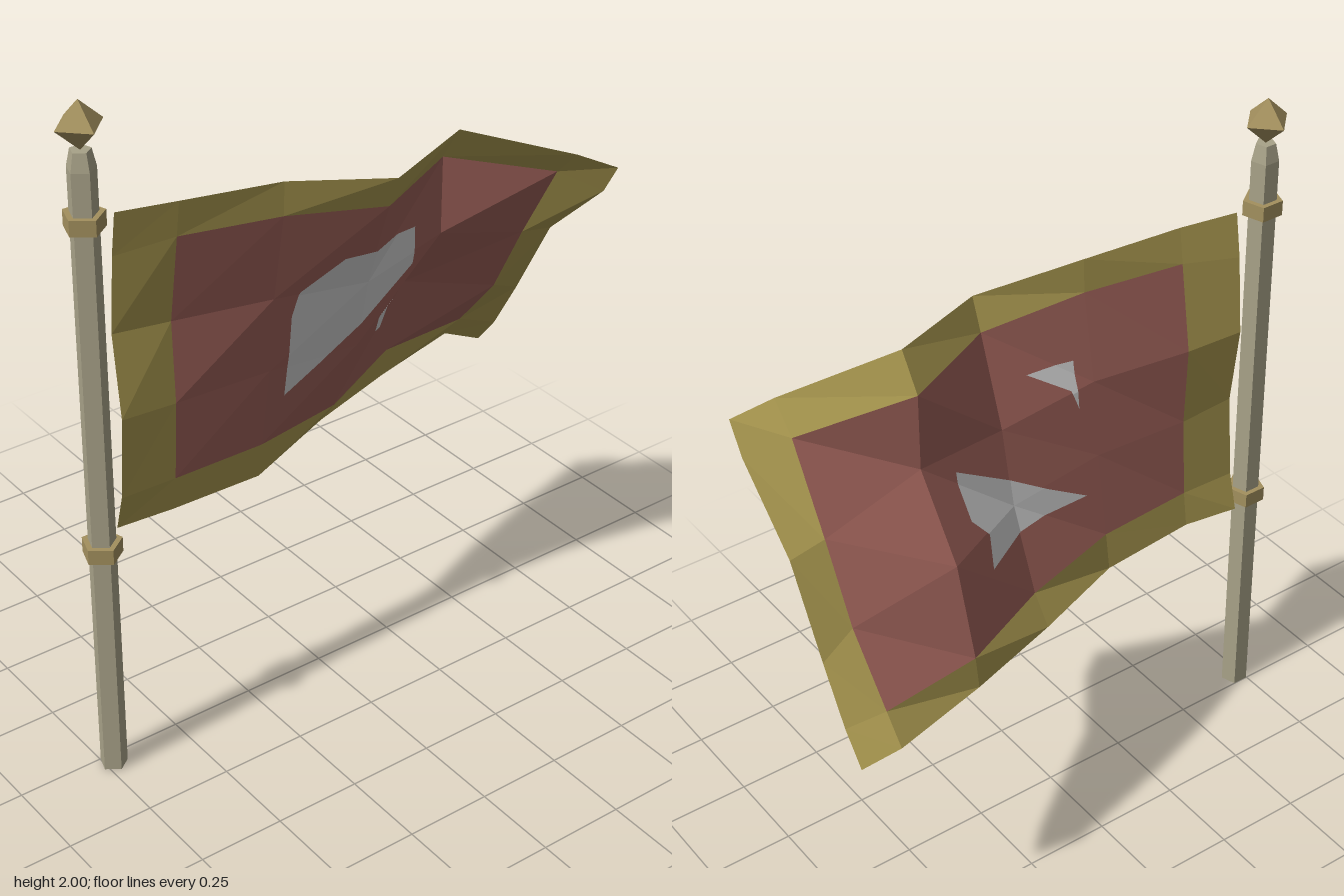
import * as THREE from 'three';

const POLE_X = -0.725, POLE_Z = 0.032;

// Cloth grid: columns run from the pole outwards, rows from top to bottom.
const COLS = [-0.645, -0.48, -0.195, 0.10, 0.39, 0.685, 0.79];
const HEIGHTS = [
  [1.68, 1.55, 1.32, 1.08, 0.83, 0.72],
  [1.675, 1.57, 1.31, 1.07, 0.83, 0.725],
  [1.66, 1.56, 1.30, 1.07, 0.82, 0.71],
  [1.615, 1.52, 1.26, 1.04, 0.80, 0.72],
  [1.625, 1.52, 1.29, 1.07, 0.81, 0.72],
  [1.52, 1.44, 1.20, 0.98, 0.80, 0.72],
  [1.47, 1.38, 1.18, 0.93, 0.77, 0.68],
];
const DEPTHS = [
  [0.04, 0.02, 0.0, 0.03, 0.01, -0.02],
  [0.075, 0.06, 0.02, 0.03, 0.015, 0.0],
  [0.12, 0.115, 0.07, 0.045, 0.005, -0.012],
  [0.205, 0.17, 0.08, 0.035, -0.065, -0.125],
  [0.095, 0.03, 0.03, -0.125, -0.2, -0.215],
  [0.235, 0.16, 0.03, -0.08, -0.225, -0.29],
  [0.285, 0.235, 0.03, -0.10, -0.19, -0.26],
];

function flatMaterial(color) {
  return new THREE.MeshStandardMaterial({ color, flatShading: true, side: THREE.DoubleSide });
}

function addMesh(parent, name, geometry, material) {
  const mesh = new THREE.Mesh(geometry, material);
  mesh.name = name;
  parent.add(mesh);
  return mesh;
}

function trianglesToGeometry(triangles) {
  const geometry = new THREE.BufferGeometry().setFromPoints(triangles.flat());
  geometry.computeVertexNormals();
  return geometry;
}

// Two triangles per cell, split from lower inner to upper outer corner.
function clothTriangles() {
  const point = (c, r) => new THREE.Vector3(COLS[c], HEIGHTS[c][r], DEPTHS[c][r]);
  const field = [], border = [];
  for (let c = 0; c < 6; c++) {
    for (let r = 0; r < 5; r++) {
      const isBorder = c === 0 || c === 5 || r === 0 || r === 4;
      const a = point(c, r), b = point(c, r + 1), d = point(c + 1, r + 1), e = point(c + 1, r);
      (isBorder ? border : field).push([a, b, e], [b, d, e]);
    }
  }
  return { field, border };
}

// Clips a flat polygon to a counter-clockwise triangle, in x and y.
function clipToTriangle(polygon, triangle) {
  let result = polygon;
  for (let i = 0; i < 3 && result.length; i++) {
    const p = triangle[i], q = triangle[(i + 1) % 3];
    const side = (v) => (q.x - p.x) * (v.y - p.y) - (q.y - p.y) * (v.x - p.x);
    const next = [];
    result.forEach((v, k) => {
      const w = result[(k + 1) % result.length], sv = side(v), sw = side(w);
      if (sv >= 0) next.push(v);
      if ((sv >= 0) !== (sw >= 0)) next.push(v.clone().lerp(w, sv / (sv - sw)));
    });
    result = next;
  }
  return result;
}

// Lays a polygon on the folds of the cloth, slightly off its surface.
function patchGeometry(outline, cloth, offset) {
  const points = outline.map(([x, y]) => new THREE.Vector2(x, y));
  const out = [];
  for (const face of THREE.ShapeUtils.triangulateShape(points, [])) {
    for (const tri of cloth) {
      const plane = new THREE.Plane().setFromCoplanarPoints(...tri);
      const n = plane.normal;
      const lifted = clipToTriangle(face.map((i) => points[i]), tri).map((v) =>
        new THREE.Vector3(v.x, v.y, -(n.x * v.x + n.y * v.y + plane.constant) / n.z + offset));
      for (let i = 1; i < lifted.length - 1; i++) {
        const t = [lifted[0], lifted[i], lifted[i + 1]];
        out.push(offset > 0 ? t : t.reverse());
      }
    }
  }
  return trianglesToGeometry(out);
}

export function createModel() {
  const model = new THREE.Group();
  model.name = 'flagOnPole';

  // Five-sided pole with a tapered top, two collars and a pointed finial
  const pole = new THREE.Group();
  pole.name = 'poleAssembly';
  pole.position.set(POLE_X, 0, POLE_Z);
  model.add(pole);
  const wood = flatMaterial(0xa8a288), brass = flatMaterial(0xa3905e);
  addMesh(pole, 'pole', new THREE.CylinderGeometry(0.039, 0.039, 1.82, 5), wood).position.y = 0.91;
  addMesh(pole, 'poleTip', new THREE.CylinderGeometry(0.028, 0.039, 0.05, 5), wood).position.y = 1.845;
  for (const y of [0.72, 1.68]) {
    addMesh(pole, 'collar', new THREE.CylinderGeometry(0.056, 0.056, 0.044, 5), brass).position.y = y;
  }
  const finial = new THREE.OctahedronGeometry(0.068).scale(1, 0.97, 1);
  addMesh(pole, 'finial', finial, brass).position.y = 1.934;

  // Waving cloth: field and border
  const flag = new THREE.Group();
  flag.name = 'flag';
  model.add(flag);
  const { field, border } = clothTriangles();
  addMesh(flag, 'flagField', trianglesToGeometry(field), flatMaterial(0x9a5f57));
  addMesh(flag, 'flagBorder', trianglesToGeometry(border), flatMaterial(0xa6954e));

  // Square panel that weaves through the cloth, showing on both faces
  const grey = flatMaterial(0xcccccc);
  const frontPatches = [
    [[-0.14, 0.97], [-0.02, 1.04], [0.28, 1.24], [0.28, 1.355], [0, 1.375], [-0.12, 1.3], [-0.14, 1.23]],
    [[0.25, 0.98], [0.285, 0.97], [0.28, 1.11], [0.23, 1.05]],
  ];
  const backPatches = [
    [[-0.14, 0.97], [0.25, 0.97], [0.23, 1.05], [0.28, 1.11], [0.28, 1.23], [-0.02, 1.04]],
    [[-0.14, 1.24], [-0.12, 1.3], [0, 1.38], [-0.14, 1.38]],
  ];
  frontPatches.forEach((p) => addMesh(flag, 'frontPanel', patchGeometry(p, field, 0.006), grey));
  backPatches.forEach((p) => addMesh(flag, 'backPanel', patchGeometry(p, field, -0.006), grey));

  return model;
}
